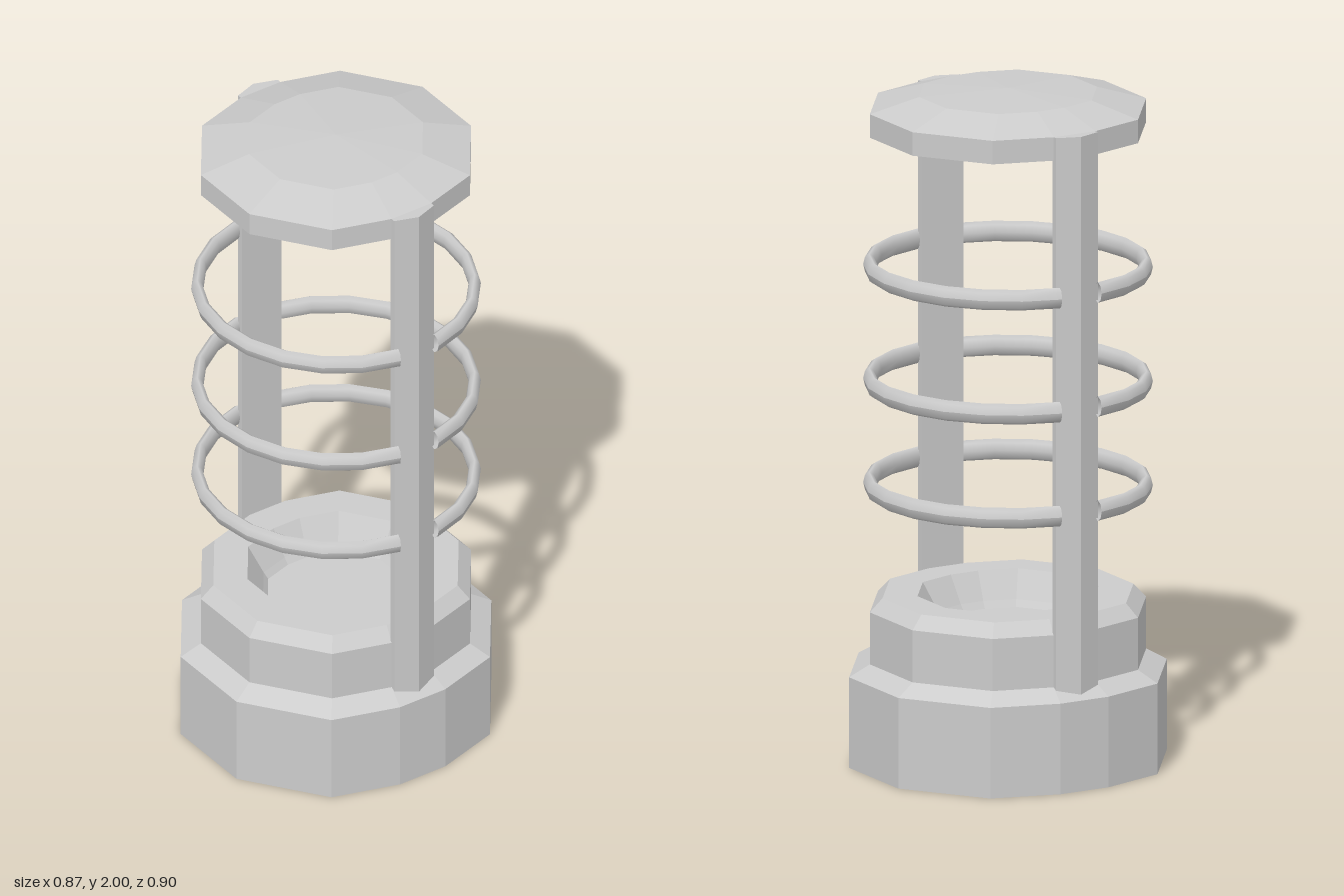
import * as THREE from 'three';

const flat = new THREE.MeshStandardMaterial({ color: 0xcccccc, flatShading: true, side: THREE.DoubleSide });
const smooth = new THREE.MeshStandardMaterial({ color: 0xcccccc, side: THREE.DoubleSide });

// Decagon whose two side corners are cut flat to seat the posts
const half = [[0.435, 0.08], [0.375, 0.28], [0.14, 0.45], [-0.14, 0.45], [-0.375, 0.28], [-0.435, 0.08]];
const outline = [...half, ...half.map(([x, z]) => [-x, -z])];

// Stacks scaled copies of the outline; levels are [scale, y]
function loft(levels) {
  const pos = [];
  const n = outline.length;
  const point = (i, [s, y]) => [outline[i % n][0] * s, y, outline[i % n][1] * s];
  for (let l = 0; l < levels.length - 1; l++) {
    const low = levels[l], high = levels[l + 1];
    for (let i = 0; i < n; i++) {
      const a = point(i, low), b = point(i + 1, low);
      const c = point(i + 1, high), d = point(i, high);
      if (high[0] > 0) pos.push(...a, ...d, ...c);
      pos.push(...a, ...c, ...b);
    }
  }
  const geo = new THREE.BufferGeometry();
  geo.setAttribute('position', new THREE.Float32BufferAttribute(pos, 3));
  geo.computeVertexNormals();
  return geo;
}

function addMesh(parent, name, geo, mat) {
  const mesh = new THREE.Mesh(geo, mat);
  mesh.name = name;
  parent.add(mesh);
  return mesh;
}

// Upright strip with a ridged outer face, its foot cut to the base shoulder
function postGeometry() {
  const shape = new THREE.Shape([[0.372, -0.07], [0.392, -0.07], [0.416, 0], [0.392, 0.07], [0.372, 0.07]]
    .map(([x, z]) => new THREE.Vector2(x, z)));
  const geo = new THREE.ExtrudeGeometry(shape, { depth: 1.645, bevelEnabled: false });
  geo.rotateX(-Math.PI / 2).translate(0, 0.3, 0);
  const p = geo.attributes.position;
  for (let i = 0; i < p.count; i++) {
    if (p.getY(i) < 1) p.setY(i, 0.305 - (p.getX(i) - 0.38) * 0.63);
  }
  geo.computeVertexNormals();
  return geo;
}

export function createModel() {
  const model = new THREE.Group();
  model.name = 'lantern';

  // Hollow stepped base with a sunken dish on top
  addMesh(model, 'base', loft([
    [1, 0], [1, 0.27], [0.87, 0.305], [0.87, 0.46], [0.79, 0.5],
    [0.57, 0.5], [0.52, 0.46], [0.47, 0.42], [0.44, 0.4], [0, 0.4],
  ]), flat);

  // Shallow domed cap, open underneath
  addMesh(model, 'cap', loft([[0.87, 1.875], [0.87, 1.945], [0.56, 1.988], [0, 2]]), flat);

  // Side posts
  const post = postGeometry();
  addMesh(model, 'leftPost', post, flat);
  addMesh(model, 'rightPost', post, flat).rotation.y = Math.PI;

  // Three guard rings, each as front and back arcs ending at the posts
  const gap = 0.16;
  const arc = new THREE.TorusGeometry(0.402, 0.018, 8, 10, Math.PI - 2 * gap);
  arc.rotateZ(gap).rotateX(Math.PI / 2).scale(1.015, 1.7, 0.99);
  arc.computeVertexNormals();
  for (const y of [0.82, 1.13, 1.47]) {
    const ring = new THREE.Group();
    ring.name = 'guardRing';
    ring.position.y = y;
    addMesh(ring, 'frontArc', arc, smooth);
    addMesh(ring, 'backArc', arc, smooth).rotation.y = Math.PI;
    model.add(ring);
  }
  return model;
}
